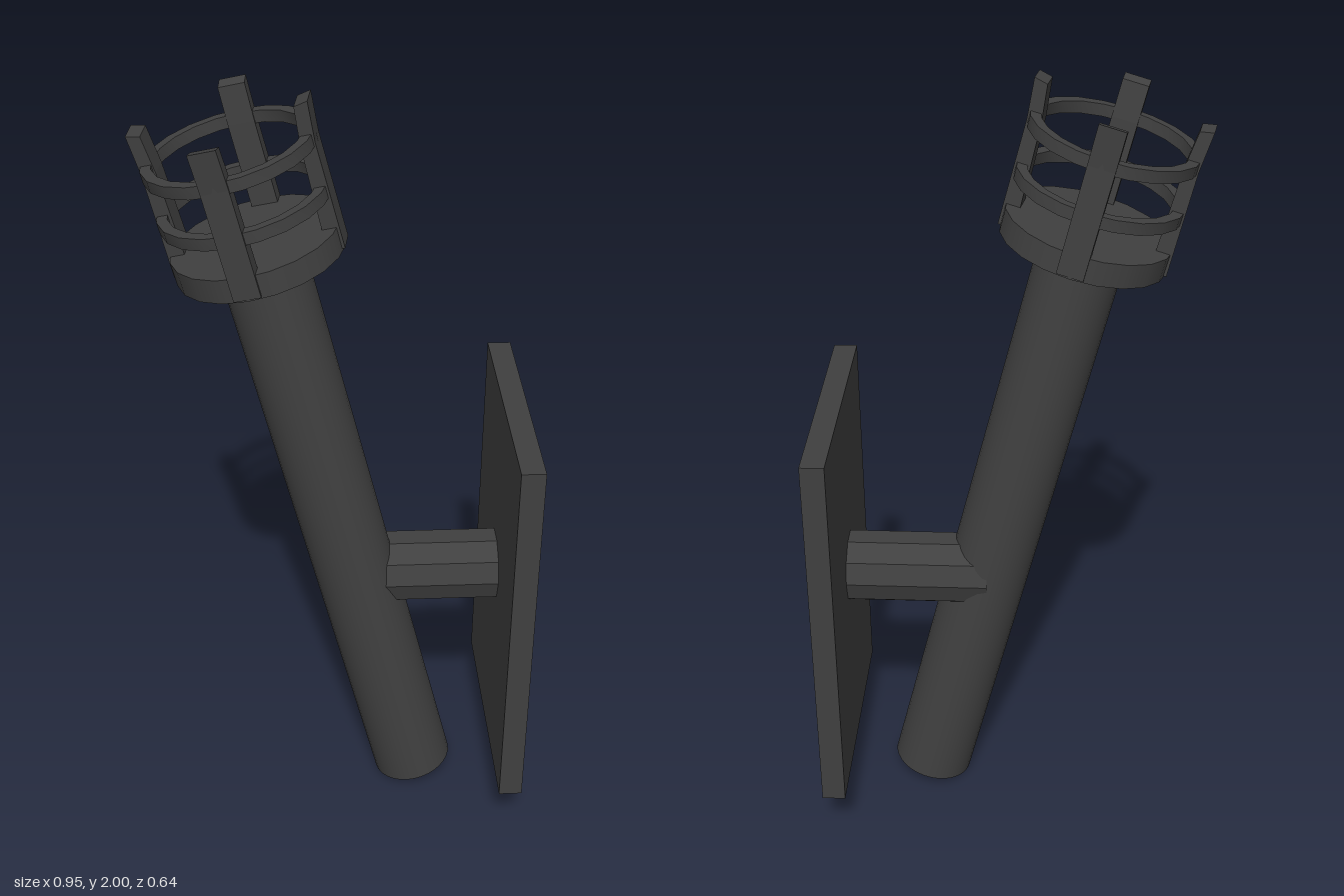
import * as THREE from 'three';
import { toCreasedNormals } from 'three/addons/utils/BufferGeometryUtils.js';

export function createModel() {
  const iron = new THREE.MeshStandardMaterial({ color: 0x404040 });
  iron.name = 'dark iron';
  const model = new THREE.Group();
  model.name = 'wallTorch';

  const add = (parent, name, geometry, x = 0, y = 0, z = 0) => {
    const mesh = new THREE.Mesh(geometry, iron);
    mesh.name = name;
    mesh.position.set(x, y, z);
    parent.add(mesh);
    return mesh;
  };

  // Upright wall plate
  add(model, 'wallPlate', new THREE.BoxGeometry(0.06, 1.015, 0.644), 0.445, 0.6625, 0);

  // Ten-sided arm from the plate into the shaft, a corner pointing up
  const armGeometry = new THREE.CylinderGeometry(0.095, 0.095, 0.37, 10).rotateZ(Math.PI / 2);
  add(model, 'bracketArm', toCreasedNormals(armGeometry, 0.3), 0.235, 0.683, 0);

  // Everything on the torch itself leans away from the wall
  const torch = new THREE.Group();
  torch.name = 'torch';
  torch.position.set(0.21, 0.032, 0.017);
  torch.rotation.z = 0.2444;
  model.add(torch);

  const shaftLength = 1.61;
  add(torch, 'shaft', new THREE.CylinderGeometry(0.106, 0.106, shaftLength, 32), 0, shaftLength / 2, 0);

  // Basket: solid collar, two hoops and four slightly flared prongs
  const basket = new THREE.Group();
  basket.name = 'basket';
  basket.position.y = shaftLength;
  basket.rotation.y = -0.16;
  torch.add(basket);

  add(basket, 'collar', new THREE.CylinderGeometry(0.206, 0.206, 0.06, 20), 0, 0.03, 0);

  const hoopProfile = [[0.206, -0.015], [0.206, 0.015], [0.18, 0.015], [0.18, -0.015], [0.206, -0.015]]
    .map(([r, y]) => new THREE.Vector2(r, y));
  const hoopGeometry = toCreasedNormals(new THREE.LatheGeometry(hoopProfile, 20), 0.6);
  add(basket, 'lowerHoop', hoopGeometry, 0, 0.15, 0);
  add(basket, 'upperHoop', hoopGeometry, 0, 0.277, 0);

  const prongShape = new THREE.Shape([
    [0.165, 0.005], [0.208, 0.005], [0.205, 0.27], [0.212, 0.369], [0.179, 0.362], [0.17, 0.27],
  ].map(([x, y]) => new THREE.Vector2(x, y)));
  const prongGeometry = new THREE.ExtrudeGeometry(prongShape, { depth: 0.065, bevelEnabled: false });
  prongGeometry.translate(0, 0, -0.0325);
  for (let i = 0; i < 4; i++) {
    add(basket, 'prong' + (i + 1), prongGeometry).rotation.y = i * Math.PI / 2;
  }

  return model;
}
